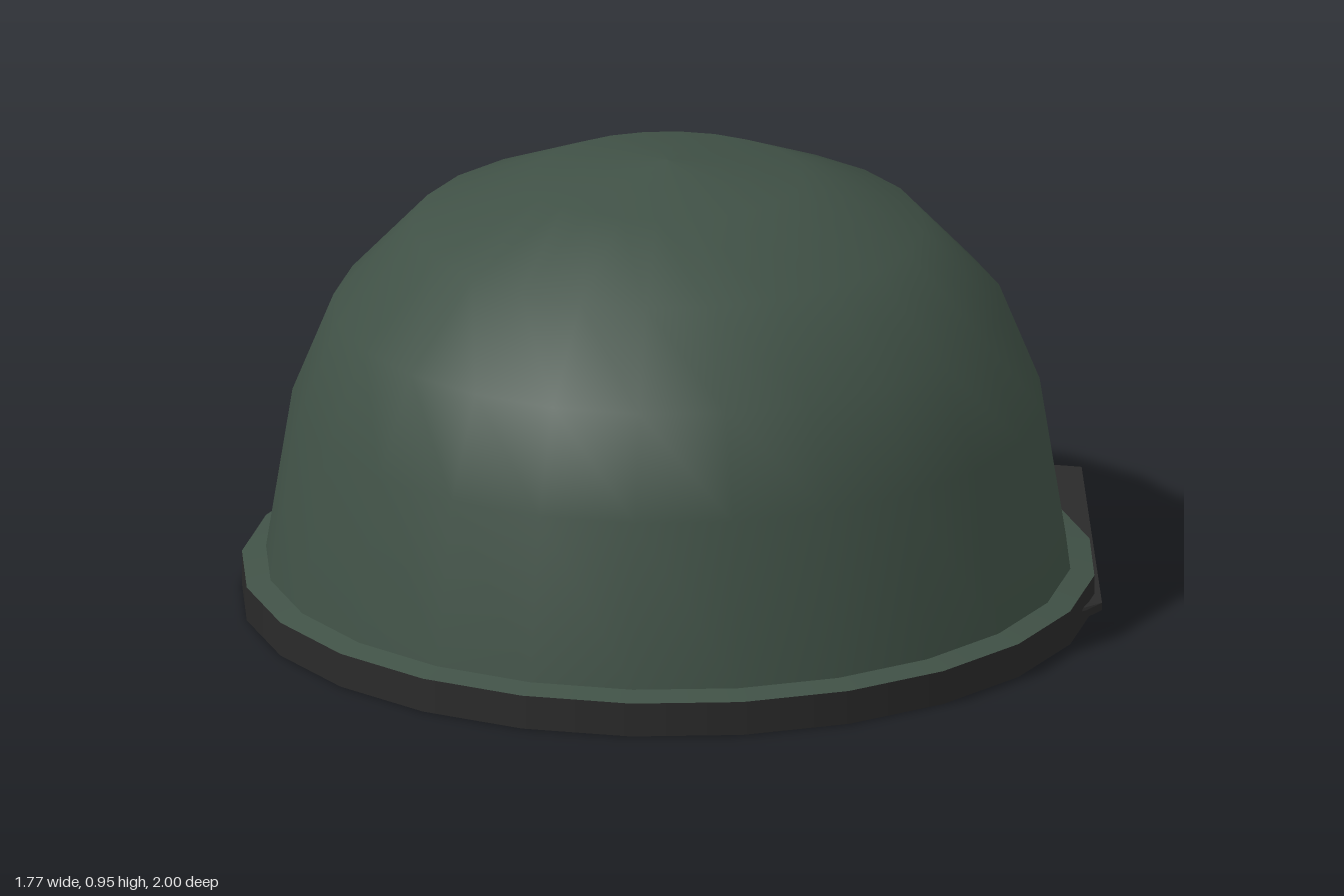
import * as THREE from 'three';

const SIDES = 24;
const CENTRE_Z = 0.116;

export function createModel() {
  const green = new THREE.MeshStandardMaterial({ color: 0x405146 });
  green.name = 'olive green';
  const dark = new THREE.MeshStandardMaterial({ color: 0x2a2a2a });
  dark.name = 'dark grey';

  const model = new THREE.Group();
  model.name = 'helmet';

  // Revolved surface from [radius, height] pairs; rising profiles face outward
  const revolve = (name, profile, material) => {
    const points = profile.map(([r, y]) => new THREE.Vector2(r, y));
    const mesh = new THREE.Mesh(new THREE.LatheGeometry(points, SIDES), material);
    mesh.name = name;
    mesh.position.z = CENTRE_Z;
    model.add(mesh);
  };

  // Domed shell and, one wall thickness inside it, the dark lining;
  // the tiny flat step at each crown keeps the shading smooth there
  revolve('domeShell', [[0.835, 0.085], [0.78, 0.43], [0.695, 0.64], [0.53, 0.815], [0.28, 0.92], [0.002, 0.955], [0, 0.955]], green);
  revolve('innerLining', [[0, 0.875], [0.002, 0.875], [0.255, 0.845], [0.485, 0.75], [0.625, 0.595], [0.705, 0.405], [0.755, 0]], dark);

  // Rim: separate bands keep the edges sharp
  revolve('rimUnderside', [[0.755, 0], [0.885, 0]], dark);
  revolve('rimSide', [[0.885, 0], [0.885, 0.072]], dark);
  revolve('rimTop', [[0.885, 0.072], [0.835, 0.085]], green);

  // Flat chin strap: a V behind the rim, with ends running forward inside it.
  // Half outlines as [x, z], mirrored across x = 0
  const outer = [[0, -1], [0.68, -0.485], [0.695, -0.43], [0.8, 0.115]];
  const inner = [[0.735, 0.115], [0.61, -0.415], [0, -0.89]];
  const mirrored = (list) => list.slice().reverse().map(([x, z]) => [-x, z]);
  const outline = [...outer, ...inner, ...mirrored(inner).slice(1), ...mirrored(outer).slice(0, -1)];
  const shape = new THREE.Shape(outline.map(([x, z]) => new THREE.Vector2(x, -z)));
  const strapGeometry = new THREE.ExtrudeGeometry(shape, { depth: 0.016, bevelEnabled: false });
  strapGeometry.rotateX(-Math.PI / 2);

  // Lift the front ends so they rise into the shell
  const position = strapGeometry.attributes.position;
  for (let i = 0; i < position.count; i++) {
    if (position.getZ(i) > 0) position.setY(i, position.getY(i) + 0.055);
  }
  strapGeometry.computeVertexNormals();
  const strap = new THREE.Mesh(strapGeometry, dark);
  strap.name = 'chinStrap';
  strap.position.y = 0.016;
  model.add(strap);

  return model;
}
